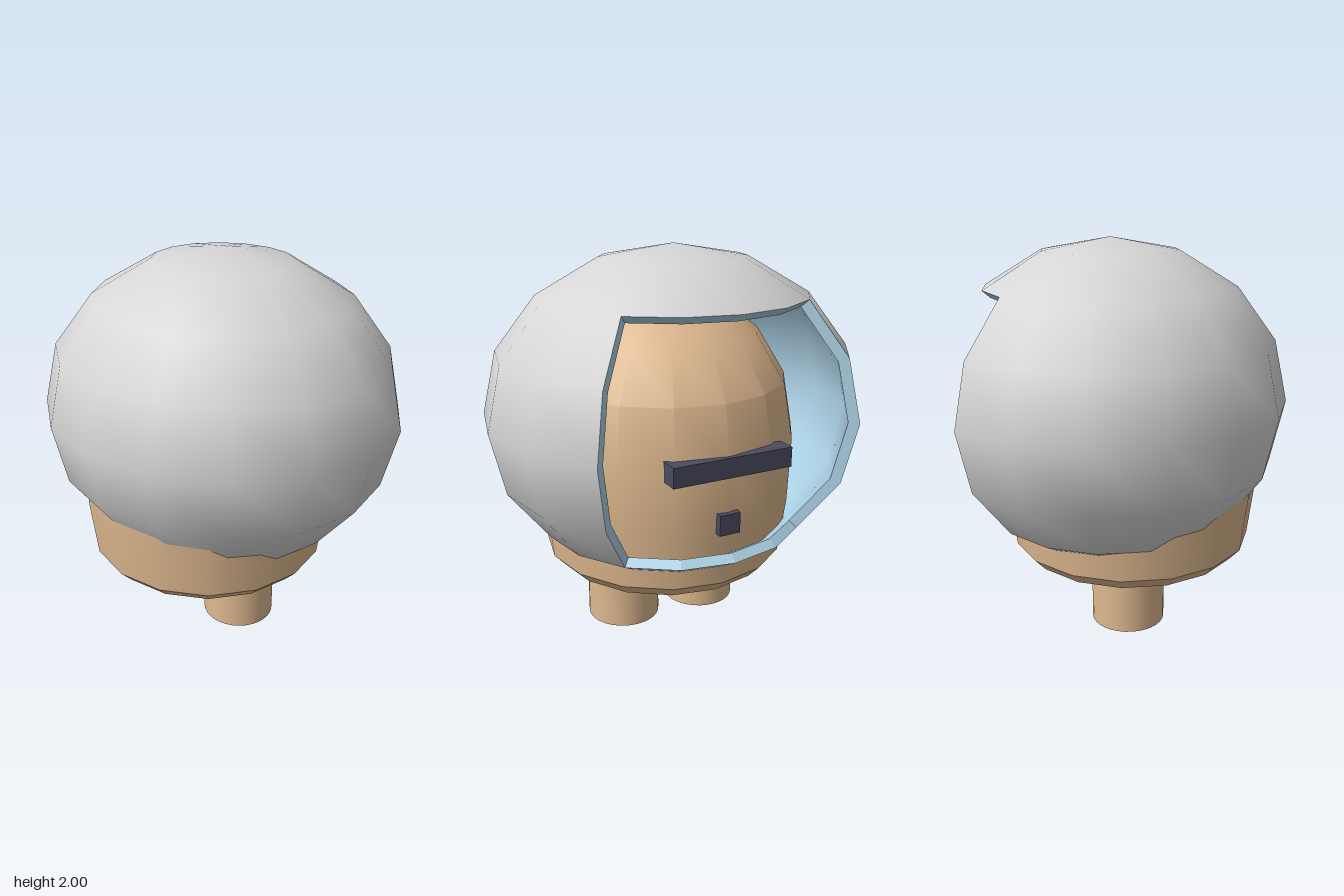
import * as THREE from 'three';
import { toCreasedNormals } from 'three/addons/utils/BufferGeometryUtils.js';

const PI = Math.PI;
const CENTRE = [0.13, 1.165, 0];
const RADII = [0.92, 0.835, 0.97];
const INNER = 0.94;
const SEG = PI / 8;

const mat = (name, color) => {
  const m = new THREE.MeshStandardMaterial({ color });
  m.name = name;
  return m;
};

// Patch of the helmet ellipsoid; inward patches have faces and normals reversed
function shellPatch(scale, inward, phi, phiLen, theta, thetaLen) {
  const g = new THREE.SphereGeometry(1, Math.round(phiLen / SEG), Math.round(thetaLen / SEG), phi, phiLen, theta, thetaLen);
  g.scale(...RADII.map((r) => r * scale));
  g.translate(...CENTRE);
  if (inward) {
    const idx = g.index, n = g.attributes.normal;
    for (let i = 0; i < idx.count; i += 3) {
      const t = idx.getX(i + 1);
      idx.setX(i + 1, idx.getX(i + 2));
      idx.setX(i + 2, t);
    }
    for (let i = 0; i < n.count; i++) n.setXYZ(i, -n.getX(i), -n.getY(i), -n.getZ(i));
  }
  return g;
}

// Band joining the outer and inner shells around the face opening
function openingRim() {
  const path = [];
  for (let i = 0; i < 4; i++) path.push([6, 6 + i]);
  for (let i = 0; i < 4; i++) path.push([6 - i, 10]);
  for (let i = 0; i < 4; i++) path.push([2, 10 - i]);
  for (let i = 0; i < 4; i++) path.push([2 + i, 6]);
  const point = ([t, p], s) => {
    const d = [-Math.cos(p * SEG) * Math.sin(t * SEG), Math.cos(t * SEG), Math.sin(p * SEG) * Math.sin(t * SEG)];
    return d.map((v, k) => CENTRE[k] + v * RADII[k] * s);
  };
  const pos = [];
  path.forEach((a, i) => {
    const b = path[(i + 1) % path.length];
    const a0 = point(a, 1), b0 = point(b, 1), a1 = point(a, INNER), b1 = point(b, INNER);
    pos.push(...a0, ...b0, ...b1, ...a0, ...b1, ...a1);
  });
  const g = new THREE.BufferGeometry();
  g.setAttribute('position', new THREE.Float32BufferAttribute(pos, 3));
  g.computeVertexNormals();
  return g;
}

export function createModel() {
  const root = new THREE.Group();
  root.name = 'helmetedFigure';
  const grey = mat('helmetGrey', 0xd6d6d6);
  const blue = mat('liningBlue', 0xacd2e6);
  const tan = mat('skinTan', 0xdfb98f);
  const dark = mat('featureDark', 0x4a4b60);

  const add = (parent, name, geo, material, x = 0, y = 0, z = 0) => {
    const m = new THREE.Mesh(geo, material);
    m.name = name;
    m.position.set(x, y, z);
    parent.add(m);
    return m;
  };

  // Helmet: crown, open middle band and base, outside and lining
  const helmet = new THREE.Group();
  helmet.name = 'helmet';
  root.add(helmet);
  for (const [label, scale, inward, m] of [['outer', 1, false, grey], ['lining', INNER, true, blue]]) {
    add(helmet, label + 'Crown', shellPatch(scale, inward, 0, 2 * PI, 0, PI / 4), m);
    add(helmet, label + 'Band', shellPatch(scale, inward, 1.25 * PI, 1.5 * PI, PI / 4, PI / 2), m);
    add(helmet, label + 'Base', shellPatch(scale, inward, 0, 2 * PI, 0.75 * PI, PI / 4), m);
  }
  add(helmet, 'openingRim', openingRim(), blue);

  // Head: domed above, broad and nearly flat below
  const profile = [[0, 0.31], [0.578, 0.345], [0.638, 0.41], [0.674, 0.7]];
  for (let i = 4; i >= 0; i--) {
    profile.push([0.685 * Math.sin(i * SEG), 1.04 + 0.74 * Math.cos(i * SEG)]);
  }
  const head = new THREE.LatheGeometry(profile.map(([r, y]) => new THREE.Vector2(r, y)), 16);
  add(root, 'head', toCreasedNormals(head, 0.5), tan, 0.025);

  // Face features on the +x side
  add(root, 'eyeBar', new THREE.BoxGeometry(0.1, 0.1, 0.635), dark, 0.672, 1.035, -0.017);
  add(root, 'mouth', new THREE.BoxGeometry(0.1, 0.105, 0.11), dark, 0.675, 0.752, 0);

  // Legs
  for (const [name, z] of [['rightLeg', 0.247], ['leftLeg', -0.22]]) {
    add(root, name, new THREE.CylinderGeometry(0.192, 0.192, 0.4, 32), tan, 0.025, 0.2, z);
  }
  return root;
}
